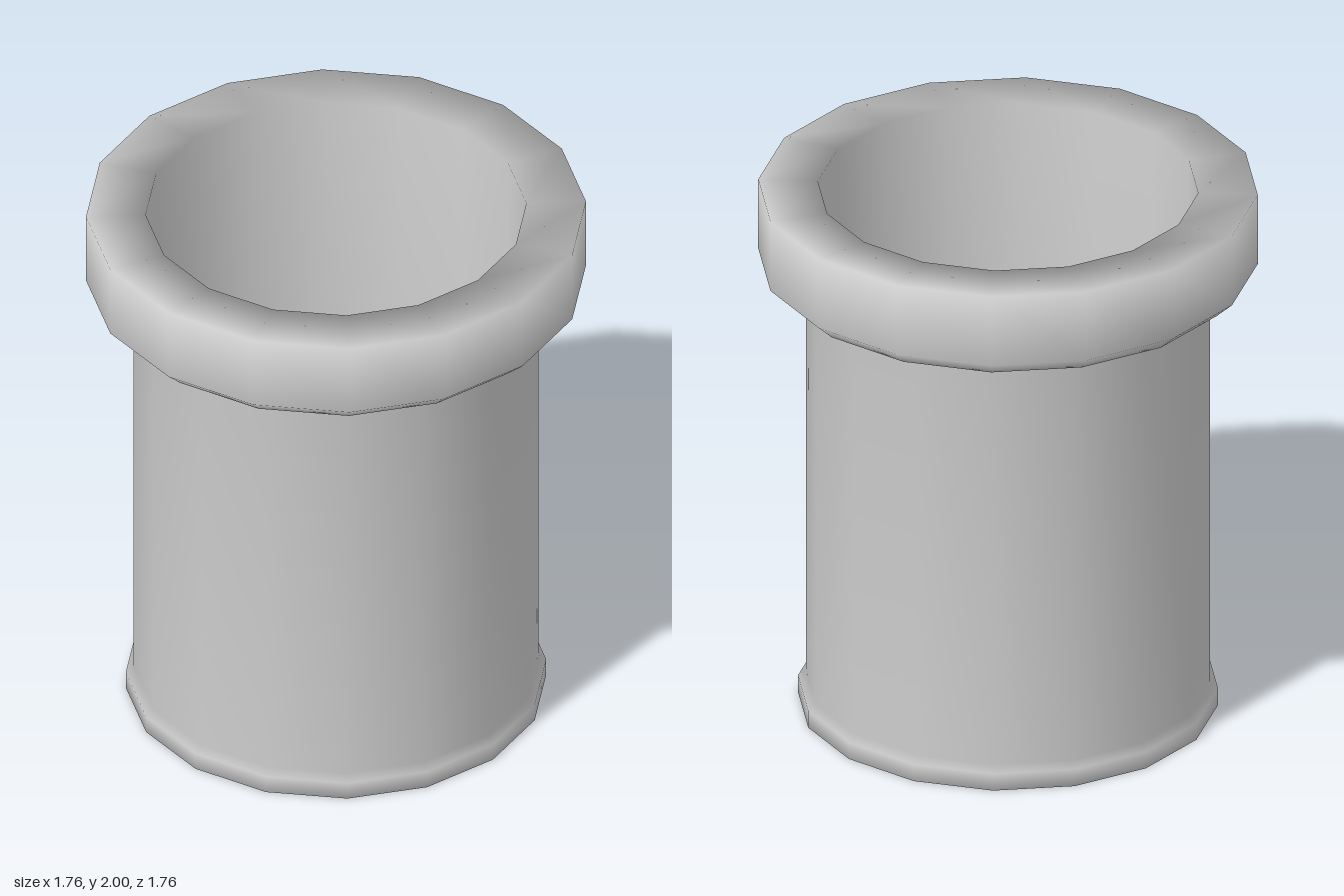
import * as THREE from 'three';

export function createModel() {
  const group = new THREE.Group();
  group.name = 'pipe';

  const grey = new THREE.MeshStandardMaterial({ color: 0xcccccc });
  grey.name = 'light grey';

  // closed wall section: foot ring, outer wall, top lip, then down the bore
  const profile = [
    [0.705, 0],                              // middle of the foot's underside
    [0.74, 0], [0.74, 0.065], [0.712, 0.088], // foot ring
    [0.712, 1.675],                          // outer wall
    [0.82, 1.675], [0.88, 1.73], [0.88, 2],  // lip with chamfered underside
    [0.67, 2], [0.67, 0],                    // bore
    [0.705, 0],
  ].map(([r, y]) => new THREE.Vector2(r, y));

  const pipe = new THREE.Mesh(new THREE.LatheGeometry(profile, 16), grey);
  pipe.name = 'pipeWall';
  group.add(pipe);

  return group;
}
